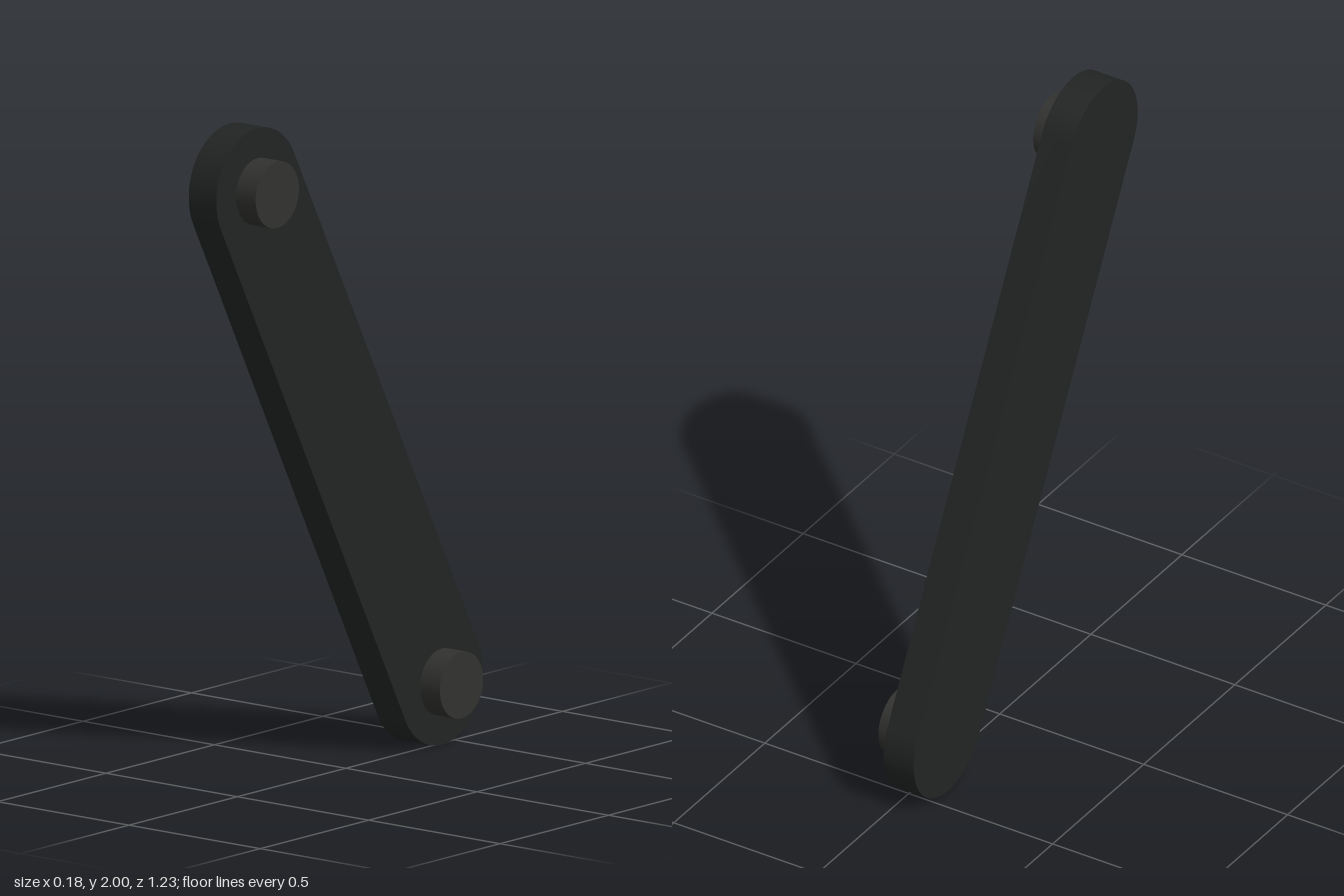
import * as THREE from 'three';
import { toCreasedNormals } from 'three/addons/utils/BufferGeometryUtils.js';

const END_Y = 0.81, END_Z = 0.425; // pivot offsets from the middle of the link
const RADIUS = 0.19, BACK = -0.09, FACE = 0.015, PIN_TIP = 0.09, PIN_RADIUS = 0.1;

export function createModel() {
  const model = new THREE.Group();
  model.name = 'linkArm';
  const plateMaterial = new THREE.MeshStandardMaterial({ color: 0x222424 });
  const pinMaterial = new THREE.MeshStandardMaterial({ color: 0x31322f });

  // Slanted bar with round ends, drawn in (-z, y) and extruded along x
  const tilt = Math.atan2(END_Y, -END_Z), quarter = Math.PI / 2;
  const outline = new THREE.Shape();
  outline.absarc(-END_Z, 1 + END_Y, RADIUS, tilt - quarter, tilt + quarter, false);
  outline.absarc(END_Z, 1 - END_Y, RADIUS, tilt + quarter, tilt + 3 * quarter, false);
  outline.closePath();
  const bar = new THREE.ExtrudeGeometry(outline, {
    depth: FACE - BACK, bevelEnabled: false, curveSegments: 20,
  });
  bar.translate(0, 0, BACK);
  bar.rotateY(Math.PI / 2);
  const plate = new THREE.Mesh(toCreasedNormals(bar, 0.6), plateMaterial);
  plate.name = 'plate';
  model.add(plate);

  // Round pivot pin at each end, on the +x face
  for (const [name, side] of [['upperPin', 1], ['lowerPin', -1]]) {
    const pin = new THREE.Mesh(
      new THREE.CylinderGeometry(PIN_RADIUS, PIN_RADIUS, PIN_TIP - FACE, 40), pinMaterial);
    pin.name = name;
    pin.rotation.z = -Math.PI / 2;
    pin.position.set((PIN_TIP + FACE) / 2, 1 + side * END_Y, side * END_Z);
    model.add(pin);
  }
  return model;
}
